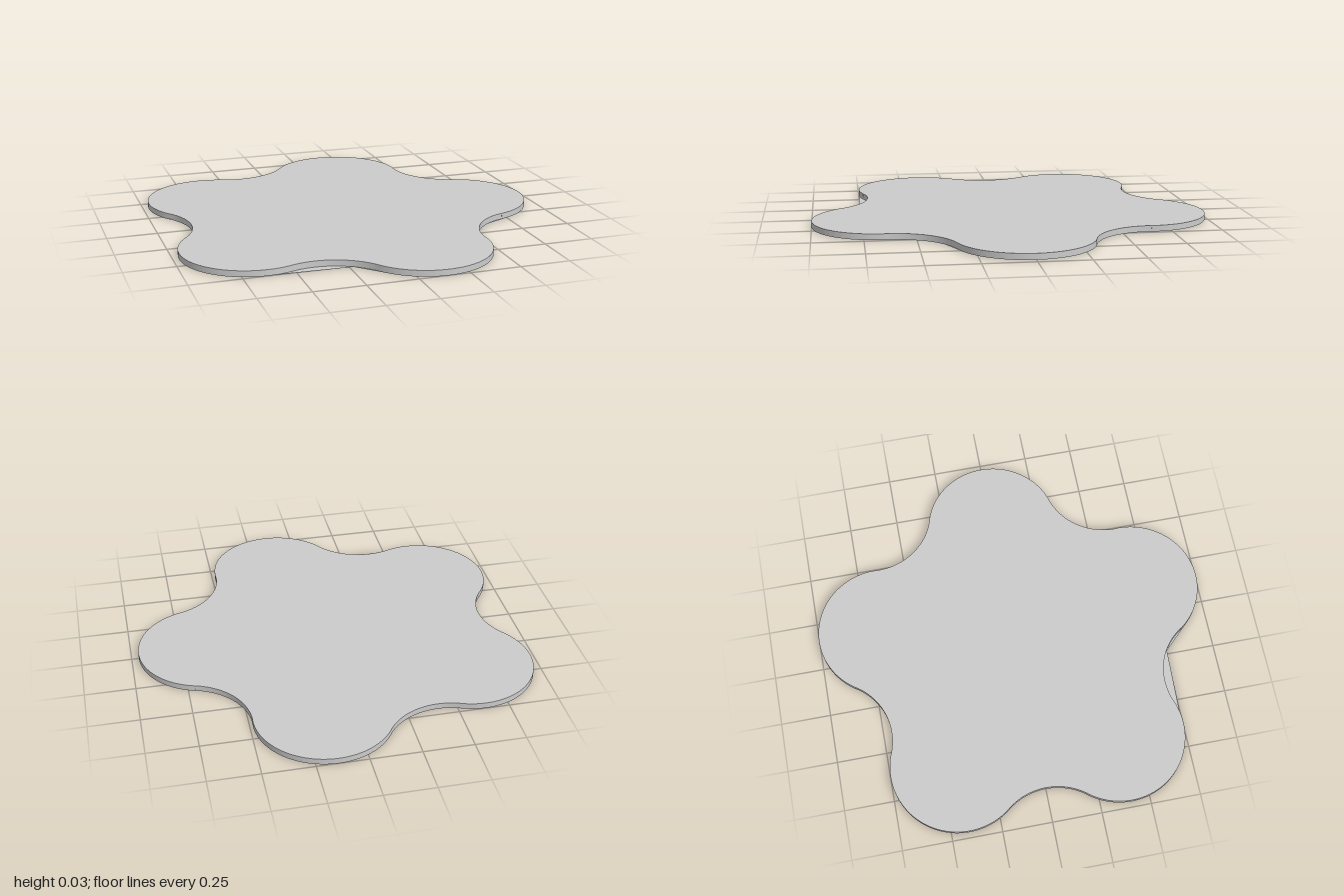
import * as THREE from 'three';
import { toCreasedNormals } from 'three/addons/utils/BufferGeometryUtils.js';

const THICKNESS = 0.03;
const CENTRE_X = -0.07;       // centre of the five-fold pattern
const LOBES = 5;
const LOBE_R = 0.34, LOBE_DIST = 0.694;
const VALLEY_R = 0.321, VALLEY_DIST = 1.081;

// Outline of tangent arcs: convex lobes joined by concave valleys
function lobedOutline() {
  const shape = new THREE.Shape();
  const step = (Math.PI * 2) / LOBES, half = step / 2;
  const span = Math.atan2(VALLEY_DIST * Math.sin(half), VALLEY_DIST * Math.cos(half) - LOBE_DIST);
  for (let i = 0; i < LOBES; i++) {
    const a = i * step, v = a + half;
    shape.absarc(CENTRE_X + LOBE_DIST * Math.cos(a), LOBE_DIST * Math.sin(a),
      LOBE_R, a - span, a + span, false);
    shape.absarc(CENTRE_X + VALLEY_DIST * Math.cos(v), VALLEY_DIST * Math.sin(v),
      VALLEY_R, a + span + Math.PI, a + step - span + Math.PI, true);
  }
  return shape;
}

export function createModel() {
  const group = new THREE.Group();
  const material = new THREE.MeshStandardMaterial({ color: 0xcccccc });
  const thin = new THREE.MeshStandardMaterial({ color: 0xcccccc, side: THREE.DoubleSide });
  const outline = lobedOutline();

  // Flat slab with a smooth rim and sharp top and bottom edges
  const slab = new THREE.ExtrudeGeometry(outline, { depth: THICKNESS, bevelEnabled: false, curveSegments: 40 });
  slab.rotateX(Math.PI / 2).translate(0, THICKNESS, 0);
  const plate = new THREE.Mesh(toCreasedNormals(slab, 0.6), material);
  plate.name = 'lobedPlate';
  group.add(plate);

  // Thin webs of the underside, bridging short stretches of the valleys with a straight edge
  const points = outline.getPoints(40);
  const webs = [[-0.61, -0.225, 0.6, 0.8], [-0.24, -0.1, 0.7, 0.91], [0.61, 0.75, 0.3, 0.4]];
  webs.forEach(([x0, x1, z0, z1], i) => {
    const arc = points.filter(p => p.x > x0 && p.x < x1 && p.y > z0 && p.y < z1);
    const geometry = new THREE.ShapeGeometry(new THREE.Shape(arc)).rotateX(Math.PI / 2);
    const web = new THREE.Mesh(geometry, thin);
    web.name = `undersideWeb${i + 1}`;
    group.add(web);
  });
  return group;
}
